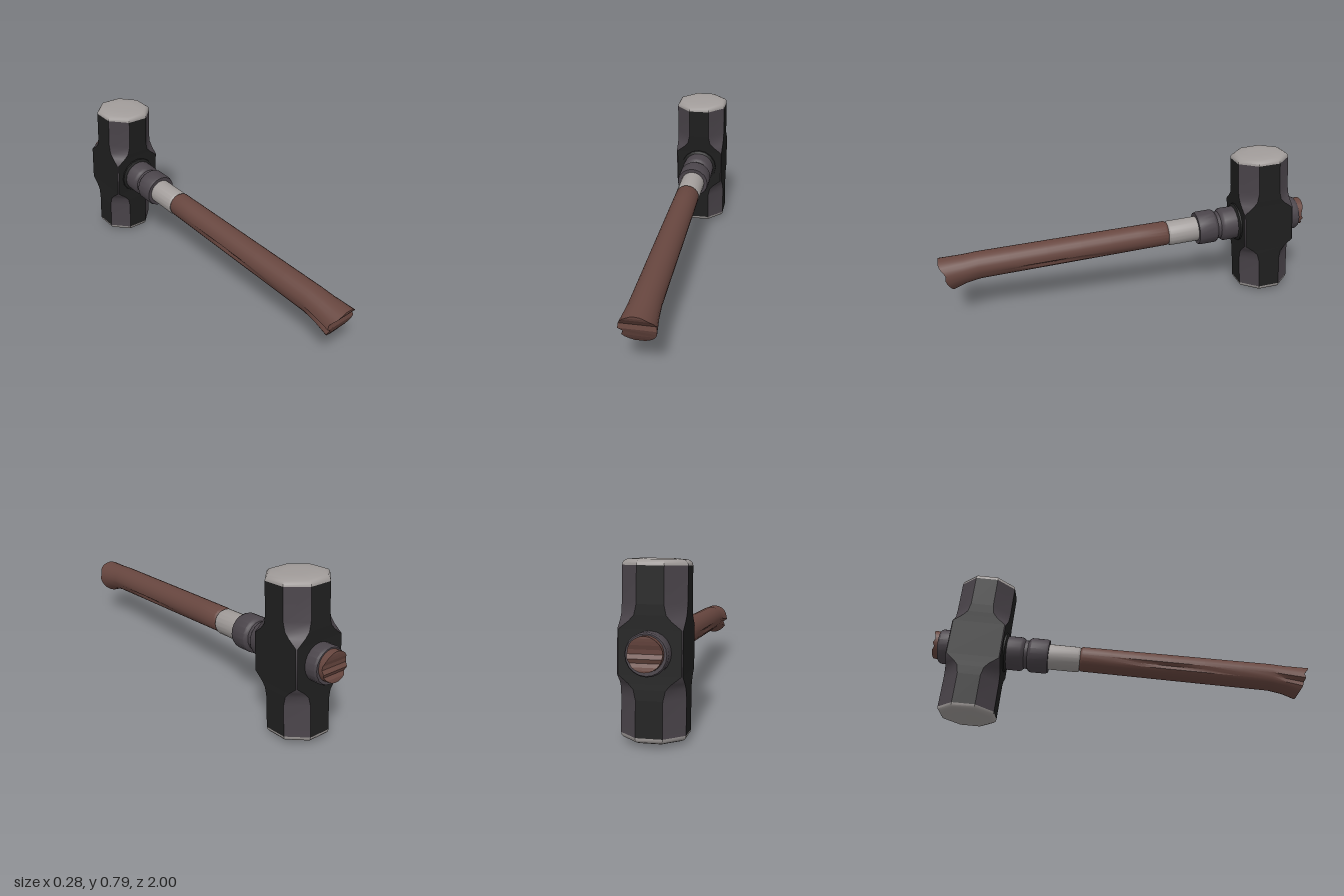
import * as THREE from 'three';
import { toCreasedNormals } from 'three/addons/utils/BufferGeometryUtils.js';

const mat = (name, color) => Object.assign(new THREE.MeshStandardMaterial({ color }), { name });

// Non-indexed geometry from a list of quads, each four [x, y, z] corners
function quadGeometry(quads) {
  const pos = [];
  for (const [a, b, c, d] of quads) pos.push(...a, ...b, ...c, ...a, ...c, ...d);
  const geo = new THREE.BufferGeometry();
  geo.setAttribute('position', new THREE.Float32BufferAttribute(pos, 3));
  geo.computeVertexNormals();
  return geo;
}

// Quads joining successive closed rings
function sideQuads(rings, pick = () => true) {
  const out = [];
  for (let k = 0; k + 1 < rings.length; k++) {
    const n = rings[k].length;
    for (let j = 0; j < n; j++) {
      const m = (j + 1) % n;
      if (pick(j)) out.push([rings[k][j], rings[k][m], rings[k + 1][m], rings[k + 1][j]]);
    }
  }
  return out;
}

// Broken end: horizontal strips between the left and right halves of a ring
function stripCap(ring, facesFront) {
  const n = ring.length, out = [];
  for (let i = 0; i < n / 2; i++) {
    const q = [ring[i], ring[i + 1], ring[n - i - 1], ring[(n - i) % n]];
    out.push(facesFront ? q : q.reverse());
  }
  return out;
}

const SIDES = 24;
// Ring around z, starting at the top and turning counterclockwise seen from the front
function woodRing(z, r, cy = 0, rowZ = () => 0, dent = () => 0) {
  return Array.from({ length: SIDES }, (_, i) => {
    const a = (i / SIDES) * Math.PI * 2;
    const rr = r - dent(i);
    return [-Math.sin(a) * rr, cy + Math.cos(a) * rr, z + rowZ(Math.min(i, SIDES - i))];
  });
}

// Turned part along z, from [radius, z] pairs with z rising
function turned(points, sides = 20) {
  const geo = new THREE.LatheGeometry(points.map(([r, z]) => new THREE.Vector2(r, z)), sides);
  geo.rotateX(Math.PI / 2);
  return toCreasedNormals(geo, 0.55);
}

export function createModel() {
  const black = mat('blackIron', 0x1f1f1f);
  const grey = mat('darkSteel', 0x4a444a);
  const silver = mat('brightSteel', 0xa19c9a);
  const wood = mat('brownWood', 0x67463f);
  const model = new THREE.Group();
  model.name = 'sledgehammer';
  const tool = new THREE.Group();
  tool.name = 'tiltedHammer';
  tool.position.set(0, 0.394, -0.762);
  tool.rotation.x = 0.08;
  model.add(tool);
  const add = (name, geo, material) => {
    const mesh = new THREE.Mesh(geo, material);
    mesh.name = name;
    tool.add(mesh);
  };

  // Head: [height, half width of the flat face, half depth], mirrored downwards
  const octagon = (y, f, h) => [[f, h], [h, f], [h, -f], [f, -h], [-f, -h], [-h, -f], [-h, f], [-f, h]]
    .map(([x, z]) => [x, y, z]);
  const upper = [[0.095, 0.134, 0.139], [0.13, 0.09, 0.14], [0.155, 0.068, 0.141], [0.2, 0.058, 0.142], [0.358, 0.058, 0.142]];
  const profile = [...upper.map(([y, f, h]) => [-y, f, h]).reverse(), ...upper];
  const headRings = profile.map((p) => octagon(...p));
  add('headFaces', quadGeometry(sideQuads(headRings, (j) => j % 2 === 1)), black);
  add('headChamfers', toCreasedNormals(quadGeometry(sideQuads(headRings, (j) => j % 2 === 0)), 0.8), grey);

  // Striking faces with rounded rims
  const rim = [[0.358, 0], [0.369, 0.002], [0.378, 0.009], [0.384, 0.022], [0.389, 0.08], [0.389, 0.1415]]
    .map(([y, i]) => octagon(y, 0.058 * (1 - i / 0.142), 0.142 - i));
  const faceGeo = toCreasedNormals(quadGeometry(sideQuads(rim)), 0.7);
  add('topStrikingFace', faceGeo, silver);
  add('bottomStrikingFace', faceGeo.clone().rotateX(Math.PI), silver);

  // Eye rim, collars and ferrule along the handle
  add('eyeRim', turned([[0.106, 0.13], [0.104, 0.147], [0.09, 0.155]], 16), black);
  add('frontCollar', turned([
    [0.09, 0.13], [0.091, 0.225], [0.086, 0.236], [0.076, 0.245], [0.076, 0.263],
    [0.086, 0.27], [0.092, 0.28], [0.092, 0.36], [0.087, 0.373], [0.06, 0.373],
  ]), grey);
  add('backCollar', turned([[0.06, -0.204], [0.086, -0.204], [0.092, -0.193], [0.092, -0.13]]), grey);
  add('ferrule', turned([[0.068, 0.36], [0.068, 0.53], [0.062, 0.54], [0.05, 0.54]]), silver);

  // Handle with a split down each side and a torn, flared end
  const split = (z) => (i) => {
    const fade = (c, w) => Math.max(0, 1 - Math.abs(z - c) / w);
    if (i === 7) return 0.014 * fade(1.02, 0.35) + 0.026 * fade(1.75, 0.22);
    if (i === 16) return 0.012 * fade(1.2, 0.4);
    return 0;
  };
  const torn = [0.06, 0.06, 0.06, 0.055, 0.042, 0.028, 0.034, 0.028, 0.02, 0.012, 0.004, 0, -0.004];
  const grip = [[0.538, 0.058], [0.55, 0.066], [0.7, 0.067], [0.86, 0.068], [1.02, 0.069], [1.2, 0.07], [1.4, 0.071], [1.56, 0.072]]
    .map(([z, r]) => woodRing(z, r, 0.004, undefined, split(z)));
  grip.push(woodRing(1.635, 0.076, -0.004, undefined, split(1.635)));
  grip.push(woodRing(1.7, 0.087, -0.015, (row) => torn[row], split(1.7)));
  add('handle', toCreasedNormals(quadGeometry(sideQuads(grip)), 0.6), wood);
  add('tornHandleEnd', quadGeometry(stripCap(grip[grip.length - 1], true)), wood);

  // Stub of the handle behind the head, split by wedge grooves
  const notch = [0, 0, 0, 0.002, 0.006, 0.014, 0.017, 0.007, 0.016, 0.006, 0.004, 0.004, 0.004];
  const stub = [woodRing(-0.239, 0.074, 0.006, (row) => notch[row]), woodRing(-0.19, 0.076, 0.004)];
  add('handleStub', toCreasedNormals(quadGeometry(sideQuads(stub)), 0.6), wood);
  add('wedgedStubEnd', quadGeometry(stripCap(stub[0], false)), wood);
  return model;
}
